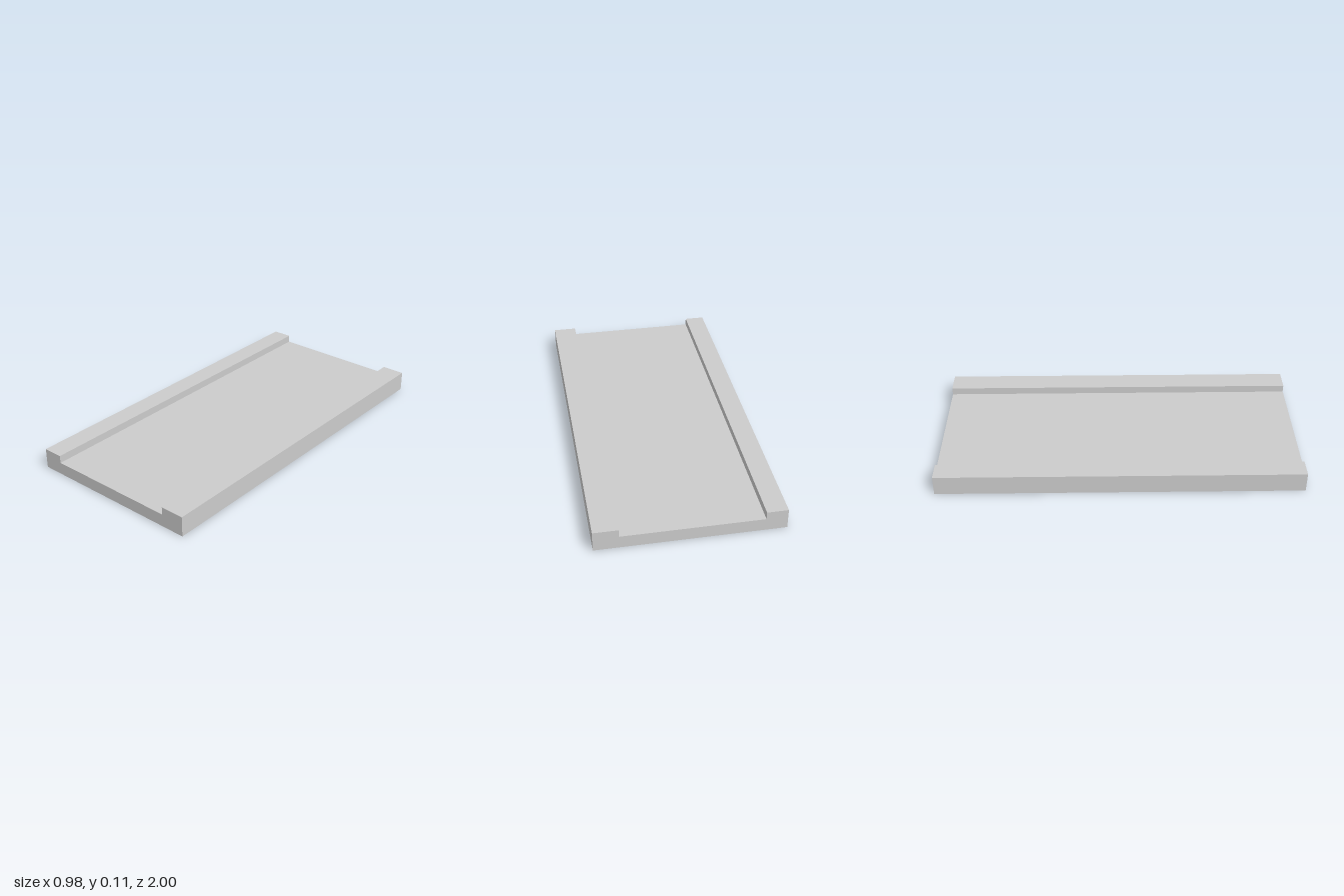
import * as THREE from 'three';

// Channelled slab: one cross-section extruded along z
export function createModel() {
  const group = new THREE.Group();
  group.name = 'channelSlab';

  const halfWidth = 0.491, height = 0.111, floorY = 0.069, length = 2;
  const grooveRight = -0.379, grooveLeft = 0.36; // the two curbs differ slightly in width

  const profile = new THREE.Shape([
    [-halfWidth, 0], [halfWidth, 0], [halfWidth, height], [grooveLeft, height],
    [grooveLeft, floorY], [grooveRight, floorY], [grooveRight, height], [-halfWidth, height],
  ].map(([x, y]) => new THREE.Vector2(x, y)));

  const geometry = new THREE.ExtrudeGeometry(profile, { depth: length, bevelEnabled: false });
  geometry.translate(0, 0, -length / 2);

  const slab = new THREE.Mesh(
    geometry,
    new THREE.MeshStandardMaterial({ color: 0xcccccc, flatShading: true }),
  );
  slab.name = 'slabWithCurbs';
  group.add(slab);
  return group;
}
